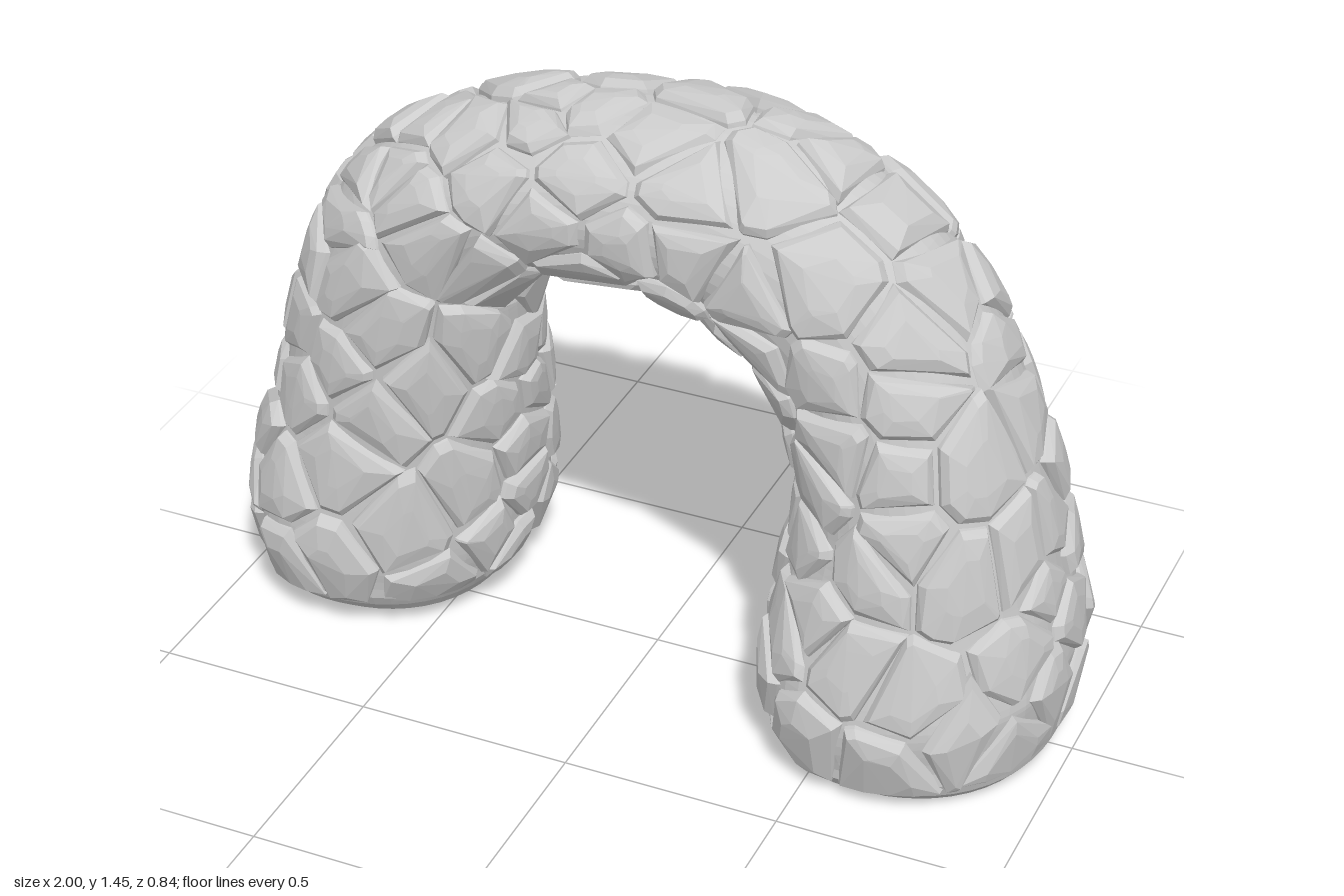
import * as THREE from 'three';
import { mergeGeometries } from 'three/addons/utils/BufferGeometryUtils.js';
import { ConvexGeometry } from 'three/addons/geometries/ConvexGeometry.js';

// Sections along the arch: centre x, y, z, half-width in the arch plane, half-depth
const SECTIONS = [
  [-0.68, 0.045, -0.06, 0.25, 0.28], [-0.68, 0.12, -0.06, 0.305, 0.34],
  [-0.67, 0.25, -0.06, 0.328, 0.36], [-0.63, 0.5, -0.045, 0.31, 0.33],
  [-0.585, 0.76, -0.005, 0.29, 0.3], [-0.5, 1.01, 0.03, 0.25, 0.268],
  [-0.34, 1.15, 0.037, 0.21, 0.262], [-0.18, 1.197, 0.04, 0.21, 0.26],
  [0, 1.22, 0.04, 0.215, 0.26],
  [0.2, 1.2, 0.04, 0.24, 0.26], [0.41, 1.11, 0.04, 0.26, 0.265],
  [0.56, 0.92, 0.035, 0.27, 0.275], [0.65, 0.6, 0.02, 0.285, 0.325],
  [0.655, 0.4, 0.025, 0.32, 0.345], [0.66, 0.2, 0.035, 0.34, 0.375],
  [0.68, 0.06, 0.035, 0.305, 0.345], [0.685, 0, 0.035, 0.26, 0.29],
];
const spine = new THREE.CatmullRomCurve3(SECTIONS.map(s => new THREE.Vector3(s[0], s[1], s[2])));
const girth = new THREE.CatmullRomCurve3(SECTIONS.map(s => new THREE.Vector3(s[3], s[4], 0)), false, 'catmullrom');
const TAU = Math.PI * 2;
const STONES = 180;

// Point on the smooth arch surface: u along the spine, a around it.
// Towards the feet the section turns squarer and skews.
function surface(u, a) {
  const t = spine.getUtoTmapping(THREE.MathUtils.clamp(u, 0, 1));
  const p = spine.getPoint(t), d = spine.getTangent(t), g = girth.getPoint(t);
  const foot = THREE.MathUtils.smoothstep(Math.abs(u - 0.5), 0.27, 0.43);
  const n = 2 + 0.35 * foot, skew = 0.1 * foot * Math.sign(0.5 - u);
  const c = Math.cos(a), s = Math.sin(a);
  const bulge = Math.pow(Math.abs(c) ** n + Math.abs(s) ** n, -1 / n);
  const l = Math.hypot(d.x, d.y);
  const r = g.x * bulge * c;
  return p.add(new THREE.Vector3(-d.y / l * r, d.x / l * r, g.y * bulge * Math.sin(a + skew)));
}

// Surface derivatives and outward normal
function frame(u, a) {
  const e = 0.004, u0 = Math.max(u - e, 0), u1 = Math.min(u + e, 1);
  const du = surface(u1, a).sub(surface(u0, a)).divideScalar(u1 - u0);
  const da = surface(u, a + e).sub(surface(u, a - e)).divideScalar(2 * e);
  return { du: du.length(), da: da.length(), n: da.clone().cross(du).normalize() };
}

// Surface point raised by h, kept above the foot of its leg
function raised(u, a, h) {
  const p = surface(u, a).addScaledVector(frame(u, a).n, h);
  p.y = Math.max(p.y, u < 0.5 ? 0.03 : 0);
  return p;
}

function seededRandom(seed) {
  return () => (seed = (seed * 16807) % 2147483647) / 2147483647;
}

// Evenly scattered stone centres: the candidate farthest from all others wins
function scatter(random) {
  const seeds = [];
  while (seeds.length < STONES) {
    let best = null, bestGap = -1;
    for (let k = 0; k < 14; k++) {
      const u = 0.03 + random() * 0.94, a = random() * TAU, p = surface(u, a);
      const gap = seeds.reduce((m, s) => Math.min(m, s.p.distanceToSquared(p)), 9);
      if (gap > bestGap) { bestGap = gap; best = { u, a, p }; }
    }
    seeds.push(best);
  }
  return seeds;
}

// Keep the part of a polygon nearer to the origin than to q
function clip(poly, q) {
  const half = q.lengthSq() / 2, out = [];
  poly.forEach((p, i) => {
    const r = poly[(i + 1) % poly.length];
    const dp = p.dot(q) - half, dr = r.dot(q) - half;
    if (dp <= 0) out.push(p);
    if (dp * dr < 0) out.push(p.clone().lerp(r, dp / (dp - dr)));
  });
  return out;
}

// One chamfered stone filling the cell around its centre
function stone(seed, seeds, random) {
  const f = frame(seed.u, seed.a);
  let cell = Array.from({ length: 8 }, (_, i) =>
    new THREE.Vector2(Math.cos(i * TAU / 8), Math.sin(i * TAU / 8)).multiplyScalar(0.22));
  for (const s of seeds) {
    if (s === seed || s.p.distanceTo(seed.p) > 0.5) continue;
    const turn = s.a - seed.a - TAU * Math.round((s.a - seed.a) / TAU);
    cell = clip(cell, new THREE.Vector2((s.u - seed.u) * f.du, turn * f.da));
  }
  const lift = (random() - 0.5) * 0.012;
  const points = [];
  const ring = (inset, scale, h) => cell.forEach(c => {
    const k = scale * Math.max(1 - inset / c.length(), 0.2);
    const u = THREE.MathUtils.clamp(seed.u + c.x * k / f.du, 0.014, 0.986);
    points.push(raised(u, seed.a + c.y * k / f.da, h));
  });
  ring(0.004, 1, -0.03);
  ring(0.01, 1, -0.016 + lift);
  ring(0.028, 1, -0.001 + lift);
  ring(0.028, 0.5, 0.003 + lift);
  return new ConvexGeometry(points);
}

// Closed tube under the stones, swelling at the ends into smooth flat feet
function coreGeometry(rows, cols, depth) {
  const pos = [], index = [];
  for (let i = -1; i <= rows + 1; i++) {
    const u = THREE.MathUtils.clamp(i / rows, 0, 1);
    const end = i < 0 || i > rows;
    const sink = depth * THREE.MathUtils.smoothstep(Math.min(u, 1 - u), 0.008, 0.03);
    for (let j = 0; j < cols; j++) {
      const p = raised(u, j / cols * TAU, -sink);
      if (end) p.copy(spine.getPoint(u)).setY(u < 0.5 ? 0.03 : 0);
      pos.push(p.x, p.y, p.z);
    }
  }
  for (let i = 0; i < rows + 2; i++) {
    for (let j = 0; j < cols; j++) {
      const a = i * cols + j, b = i * cols + (j + 1) % cols;
      index.push(a, b, b + cols, a, b + cols, a + cols);
    }
  }
  const g = new THREE.BufferGeometry();
  g.setAttribute('position', new THREE.Float32BufferAttribute(pos, 3));
  g.setIndex(index);
  g.computeVertexNormals();
  return g;
}

export function createModel() {
  const random = seededRandom(4711);
  const material = new THREE.MeshStandardMaterial({ color: 0xcccccc, flatShading: true });
  const seeds = scatter(random);

  const core = new THREE.Mesh(coreGeometry(120, 48, 0.022), material);
  core.name = 'archCore';
  const stones = new THREE.Mesh(mergeGeometries(seeds.map(s => stone(s, seeds, random))), material);
  stones.name = 'stones';

  const group = new THREE.Group();
  group.name = 'stoneArch';
  group.add(core, stones);
  return group;
}
